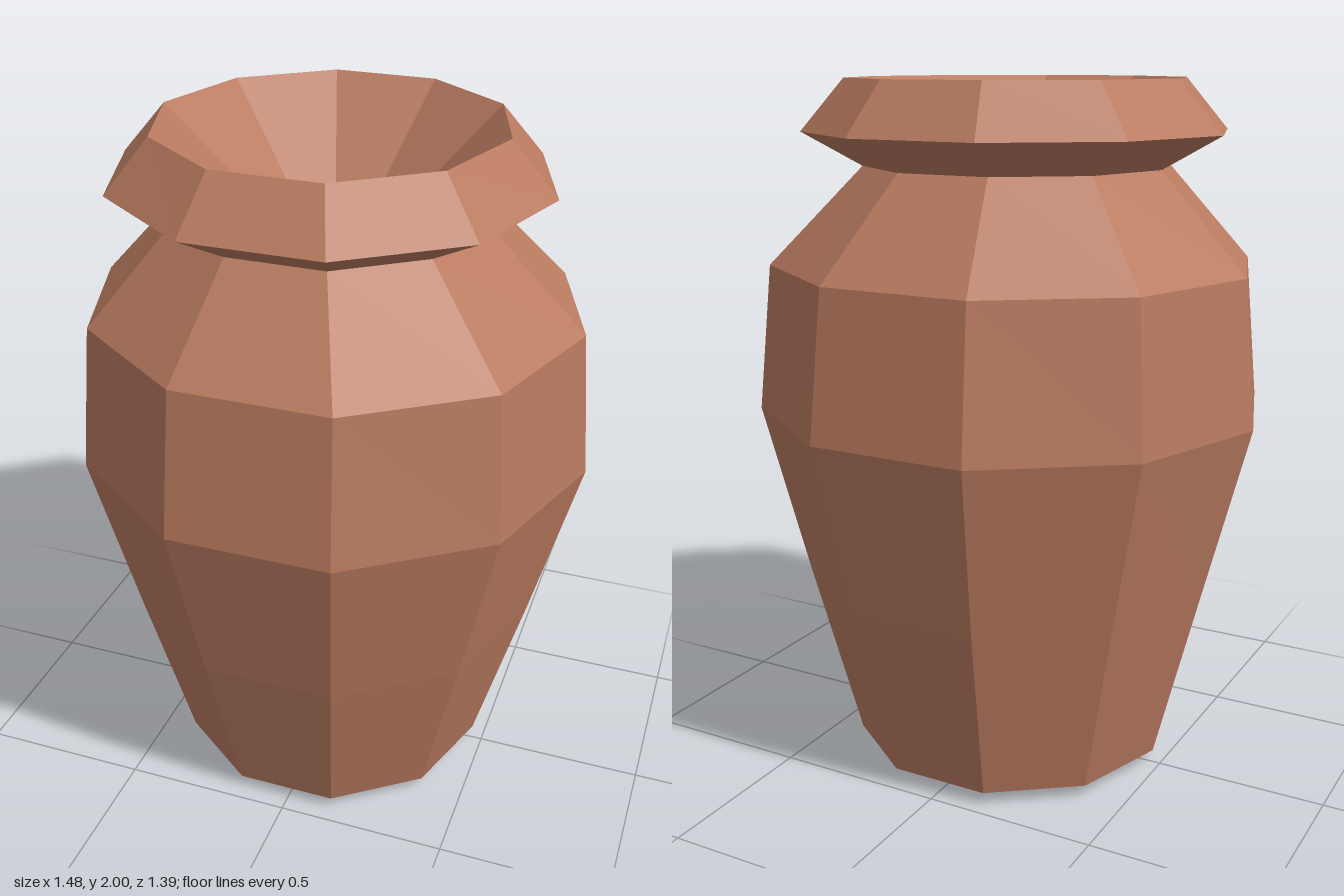
import * as THREE from 'three';

const SIDES = 10;

// Skins a stack of ten-sided rings [y, radiusX, radiusZ, offsetX, offsetZ];
// a ring of radius 0 closes the surface at a point.
function ringSurface(name, rings, material) {
  const pos = [];
  const point = ([y, rx, rz, ox = 0, oz = 0], j) => {
    const t = ((j % SIDES) / SIDES) * Math.PI * 2;
    return [ox + rx * Math.cos(t), y, oz + rz * Math.sin(t)];
  };
  for (let i = 0; i < rings.length - 1; i++) {
    const lower = rings[i], upper = rings[i + 1];
    for (let j = 0; j < SIDES; j++) {
      const a = point(lower, j), b = point(lower, j + 1);
      const c = point(upper, j + 1), d = point(upper, j);
      if (upper[1] > 0) pos.push(...a, ...d, ...c);
      if (lower[1] > 0) pos.push(...a, ...c, ...b);
    }
  }
  const geometry = new THREE.BufferGeometry();
  geometry.setAttribute('position', new THREE.Float32BufferAttribute(pos, 3));
  geometry.computeVertexNormals(); // unshared corners give flat facets
  const mesh = new THREE.Mesh(geometry, material);
  mesh.name = name;
  return mesh;
}

export function createModel() {
  const terracotta = new THREE.MeshStandardMaterial({ color: 0xb97b60 });
  terracotta.name = 'terracotta';

  const neck = [1.76, 0.44, 0.44, -0.01, 0.008];
  const rim = [2.0, 0.483, 0.492, -0.01, 0.008];

  const group = new THREE.Group();
  group.name = 'vase';
  group.add(
    // closed base, tapering belly and shoulder
    ringSurface('body', [
      [0, 0, 0],
      [0, 0.32, 0.32, -0.005, -0.01],
      [0.04, 0.473, 0.48, -0.005, -0.005],
      [0.56, 0.61, 0.615],
      [1.07, 0.742, 0.733],
      [1.485, 0.705, 0.68],
      neck,
    ], terracotta),
    // flared collar above the neck
    ringSurface('lip', [neck, [1.855, 0.612, 0.607, -0.008, 0.012], rim], terracotta),
    // hollow mouth running down to a point
    ringSurface('mouth', [rim, [1.74, 0.205, 0.21, -0.008, 0], [1.42, 0, 0, -0.008, -0.01]], terracotta),
  );
  return group;
}
